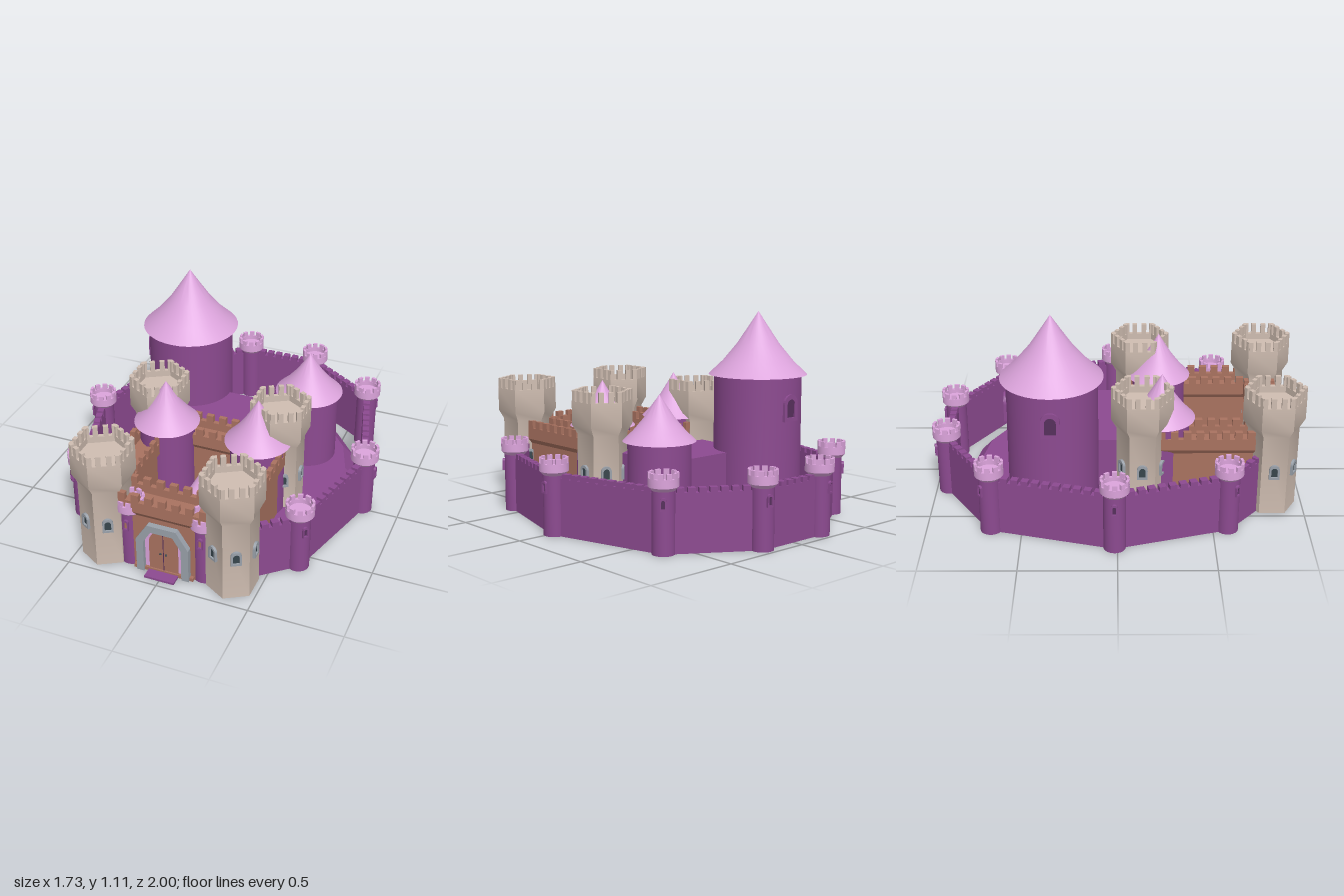
import * as THREE from 'three';
import { toCreasedNormals } from 'three/addons/utils/BufferGeometryUtils.js';

const mat = (name, color) => {
  const m = new THREE.MeshStandardMaterial({ color });
  m.name = name;
  return m;
};

export function createModel() {
  const root = new THREE.Group();
  root.name = 'castle';
  const purple = mat('purple stone', 0x8c4a90);
  const pink = mat('pink tile', 0xdca4dc);
  const cream = mat('cream stone', 0xcfbdb1);
  const brown = mat('brown stone', 0xa97260);
  const grey = mat('grey trim', 0x9aa1aa);
  const dark = mat('dark glass', 0x37454c);
  const plum = mat('dark plum', 0x56305c);

  const add = (parent, name, geo, material, x = 0, y = 0, z = 0, ry = 0) => {
    const m = new THREE.Mesh(geo, material);
    m.name = name;
    m.position.set(x, y, z);
    m.rotation.y = ry;
    parent.add(m);
    return m;
  };
  const group = (name, x, z, ry = 0) => {
    const g = new THREE.Group();
    g.name = name;
    g.position.set(x, 0, z);
    g.rotation.y = ry;
    root.add(g);
    return g;
  };
  const box = (w, h, d) => new THREE.BoxGeometry(w, h, d);
  const lathe = (pts, seg) => toCreasedNormals(
    new THREE.LatheGeometry(pts.map(p => new THREE.Vector2(p[0], p[1])), seg), 0.5);
  const extrude = (shape, depth) => new THREE.ExtrudeGeometry(shape, { depth, bevelEnabled: false, curveSegments: 8 });

  // Upright opening with a round head, standing on y = 0
  const trace = (path, w, h, y0 = 0) => {
    path.moveTo(-w / 2, y0);
    path.lineTo(w / 2, y0);
    path.lineTo(w / 2, h - w / 2);
    path.absarc(0, h - w / 2, w / 2, 0, Math.PI, false);
    path.lineTo(-w / 2, y0);
    return path;
  };

  // Framed arched window, pushed out from a tower axis in direction a
  const windowAt = (parent, a, r, y, w, h, frameMat, paneMat) => {
    const g = new THREE.Group();
    g.name = 'window';
    g.position.set(Math.sin(a) * r, y, Math.cos(a) * r);
    g.rotation.y = a;
    const frame = trace(new THREE.Shape(), w, h);
    frame.holes.push(trace(new THREE.Path(), w * 0.6, h * 0.82, h * 0.14));
    add(g, 'windowFrame', extrude(frame, 0.018), frameMat, 0, 0, -0.004);
    add(g, 'windowPane', extrude(trace(new THREE.Shape(), w * 0.66, h * 0.86), 0.008), paneMat, 0, 0, -0.003);
    parent.add(g);
  };

  // Mound, courtyard floor and hall
  add(root, 'mound', toCreasedNormals(new THREE.CylinderGeometry(0.635, 0.7, 0.07, 18), 0.2), purple, 0, 0.035, -0.135);
  add(root, 'courtyardFloor', box(0.74, 0.02, 0.8), brown, 0, 0.011, 0.46);
  add(root, 'hall', box(0.6, 0.355, 0.54), purple, 0, 0.178, -0.07);

  // Vaulted passage from gate to hall
  const vault = trace(new THREE.Shape(), 0.145, 0.22);
  add(root, 'passage', toCreasedNormals(extrude(vault, 0.6), 0.5), pink, 0, 0.01, 0.18);

  // Round towers with flared conical roofs
  const roundTower = (name, x, z, r, top, roofR, apex) => {
    const g = group(name, x, z);
    const h = apex - top;
    add(g, 'shaft', toCreasedNormals(new THREE.CylinderGeometry(r, r, top, 40), 0.5), purple, 0, top / 2 + 0.001);
    add(g, 'roof', lathe([[0, top - 0.004], [roofR, top - 0.004], [roofR * 0.72, top + h * 0.2],
      [roofR * 0.43, top + h * 0.48], [roofR * 0.2, top + h * 0.755], [0, apex]], 40), pink);
    return g;
  };
  const keep = roundTower('keep', -0.365, -0.34, 0.24, 0.77, 0.27, 1.11);
  for (const a of [-Math.PI / 2, Math.PI]) windowAt(keep, a, 0.236, 0.53, 0.1, 0.145, purple, plum);
  roundTower('backTower', 0.36, -0.34, 0.165, 0.485, 0.19, 0.72);
  for (const s of [-1, 1]) roundTower('frontTower', s * 0.265, 0.237, 0.15, 0.485, 0.18, 0.73);

  // Six-sided towers with battlements
  const R = 0.166, A = R * Math.cos(Math.PI / 6);
  const hexProfile = [[0, 0], [0.137, 0], [0.137, 0.46], [R, 0.51], [R, 0.64], [R - 0.026, 0.64], [R - 0.026, 0.605], [0, 0.605]];
  const hexTower = (x, z) => {
    const g = group('hexTower', x, z);
    add(g, 'hexBody', lathe(hexProfile, 6), cream);
    for (let i = 0; i < 6; i++) {
      const a = (i + 0.5) * Math.PI / 3;
      const side = new THREE.Group();
      side.name = 'battlementSide';
      side.rotation.y = a;
      for (const [t, w] of [[-0.069, 0.022], [-0.027, 0.027], [0.027, 0.027], [0.069, 0.022]])
        add(side, 'merlon', box(w, 0.06, 0.022), cream, t, 0.667, A - 0.011);
      g.add(side);
      windowAt(g, a, 0.1186, 0.215, 0.056, 0.082, grey, dark);
    }
  };
  for (const s of [-1, 1]) for (const z of [0.828, 0.132]) hexTower(s * 0.352, z);

  // Brown battlement walls with a sunken walkway
  const section = new THREE.Shape([[-0.07, 0], [0.07, 0], [0.07, 0.33], [0.086, 0.355], [0.086, 0.42], [0.06, 0.42],
    [0.06, 0.375], [-0.06, 0.375], [-0.06, 0.42], [-0.086, 0.42], [-0.086, 0.355], [-0.07, 0.33]]
    .map(p => new THREE.Vector2(...p)));
  const walkway = (name, x0, z0, x1, z1) => {
    const len = Math.hypot(x1 - x0, z1 - z0);
    const g = group(name, x0, z0, Math.atan2(x1 - x0, z1 - z0));
    add(g, 'wallBody', extrude(section, len), brown);
    const n = Math.round(len / 0.07);
    for (let i = 0; i < n; i++) for (const s of [-1, 1])
      add(g, 'merlon', box(0.026, 0.042, 0.04), brown, s * 0.073, 0.44, (i + 0.5) * len / n);
  };
  walkway('gateWall', -0.26, 0.815, 0.26, 0.815);
  walkway('innerWall', -0.26, 0.15, 0.26, 0.15);
  for (const s of [-1, 1]) walkway('sideWall', s * 0.332, 0.2, s * 0.332, 0.74);

  // Small round wall towers
  const wallTower = (x, z, a, paneMat) => {
    const g = group('wallTower', x, z);
    add(g, 'shaft', lathe([[0, 0], [0.058, 0], [0.058, 0.325]], 24), purple);
    add(g, 'cap', lathe([[0.057, 0.315], [0.076, 0.335], [0.076, 0.378], [0.061, 0.378], [0.061, 0.355], [0, 0.355]], 24), pink);
    for (let i = 0; i < 10; i++) {
      const b = (i + 0.5) * Math.PI / 5;
      add(g, 'merlon', box(0.027, 0.028, 0.014), pink, Math.sin(b) * 0.068, 0.391, Math.cos(b) * 0.068, b);
    }
    windowAt(g, a, 0.055, 0.225, 0.03, 0.065, purple, paneMat);
  };

  // Outer wall, one half mirrored to the other
  const ring = [[0.37, 0.79], [0.62, 0.575], [0.79, -0.015], [0.62, -0.66], [0.21, -0.927]];
  const curtain = (x0, z0, x1, z1) => {
    const len = Math.hypot(x1 - x0, z1 - z0);
    const g = group('outerWall', x0, z0, Math.atan2(x1 - x0, z1 - z0));
    add(g, 'wallBody', box(0.036, 0.3, len), purple, 0, 0.15, len / 2);
    const n = Math.round(len / 0.056);
    for (let i = 0; i < n; i++)
      add(g, 'merlon', box(0.036, 0.026, len / n * 0.68), purple, 0, 0.312, (i + 0.5) * len / n);
  };
  for (const s of [-1, 1]) {
    ring.forEach(([x, z], i) => {
      if (i === 0) return;
      const [px, pz] = ring[i - 1];
      curtain(s * px, pz, s * x, z);
      wallTower(s * x, z, Math.atan2(s * x, z), plum);
    });
    wallTower(s * 0.205, 0.838, 0, brown);
  }
  curtain(-0.21, -0.927, 0.21, -0.927);

  // Gate: pink recess, double door, grey arch, steps
  const gate = group('gate', 0, 0.885);
  add(gate, 'gateRecess', extrude(trace(new THREE.Shape(), 0.22, 0.28), 0.008), pink, 0, 0, -0.002);
  add(gate, 'door', extrude(trace(new THREE.Shape(), 0.16, 0.265), 0.008), brown, 0, 0, 0.004);
  add(gate, 'doorSeam', box(0.004, 0.25, 0.003), plum, 0, 0.13, 0.0125);
  for (const s of [-1, 1]) add(gate, 'doorHandle', new THREE.SphereGeometry(0.006, 10, 8), dark, s * 0.016, 0.125, 0.015);
  const arch = new THREE.Shape([[-0.145, 0], [-0.105, 0], [-0.105, 0.19], [-0.06, 0.262], [0.06, 0.262], [0.105, 0.19], [0.105, 0],
    [0.145, 0], [0.145, 0.2], [0.08, 0.302], [-0.08, 0.302], [-0.145, 0.2]].map(p => new THREE.Vector2(...p)));
  add(gate, 'gateArch', extrude(arch, 0.035), grey, 0, 0, -0.004);
  add(gate, 'threshold', box(0.33, 0.02, 0.06), brown, 0, 0.01, -0.01);
  add(gate, 'step', box(0.165, 0.012, 0.09), purple, 0, 0.006, 0.035);
  return root;
}
